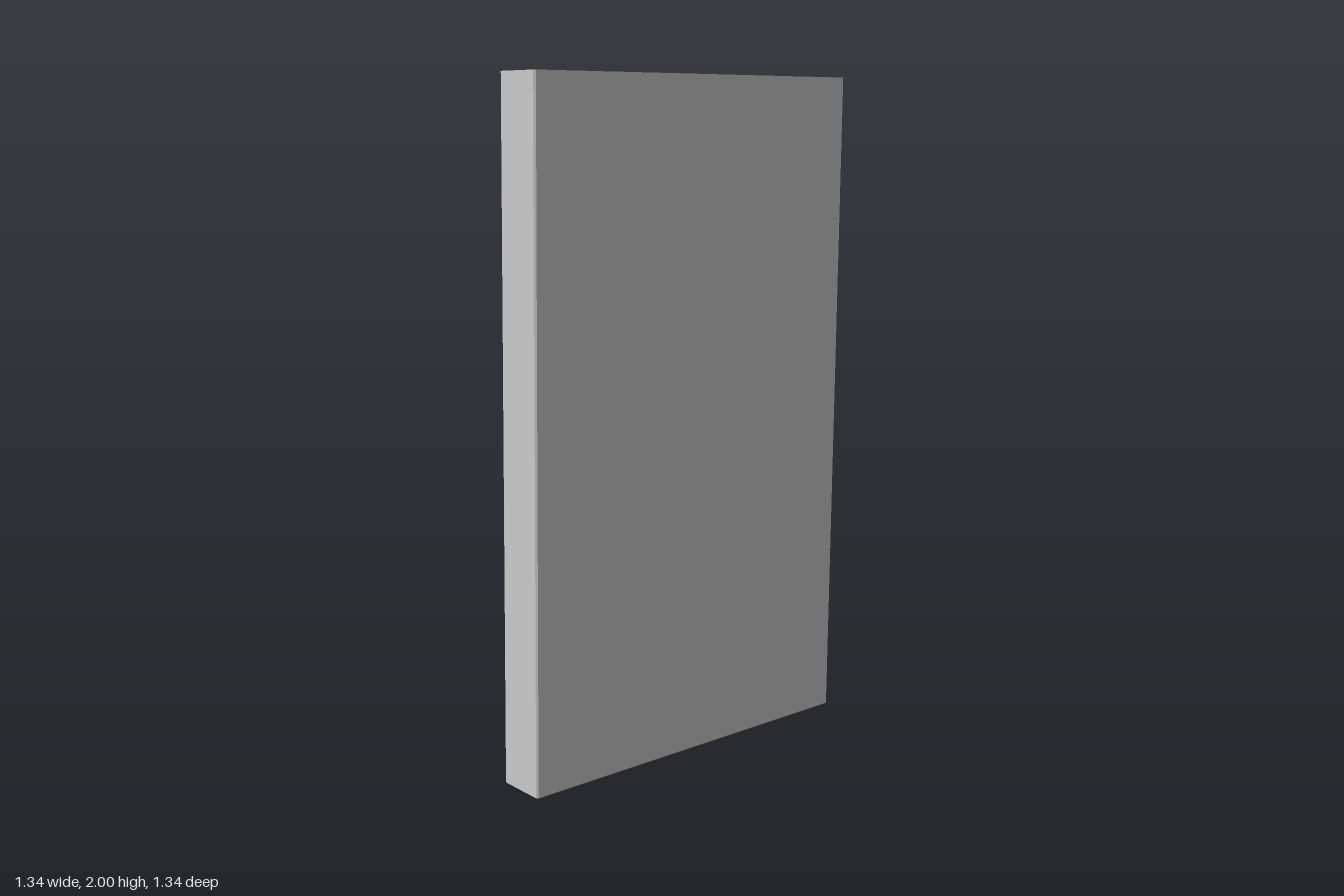
import * as THREE from 'three';

export function createModel() {
  const group = new THREE.Group();
  group.name = 'cornerProfile';

  // One leg in plan as [x, z], from the inner relief notch round to the outer bevel
  const leg = [
    [0.525, 0.525], [0.507, 0.525], [0.507, 0.515], [0.502, 0.51], // relief notch
    [-0.66, 0.51], [-0.67, 0.525], [-0.67, 0.665], [-0.665, 0.67], // chamfered end
    [0.515, 0.67], [0.525, 0.664],                                 // outer bevel
  ];
  // The other leg is its mirror across the diagonal x = z
  const mirrored = leg.slice(1).reverse().map(([x, z]) => [z, x]);
  const outline = [...leg, ...mirrored].map(([x, z]) => new THREE.Vector2(x, -z));

  // Extrude the plan upwards
  const geometry = new THREE.ExtrudeGeometry(new THREE.Shape(outline), {
    depth: 2, bevelEnabled: false,
  });
  geometry.rotateX(-Math.PI / 2);

  const material = new THREE.MeshStandardMaterial({ color: 0xcccccc, flatShading: true });
  const angle = new THREE.Mesh(geometry, material);
  angle.name = 'angleBar';
  group.add(angle);
  return group;
}
